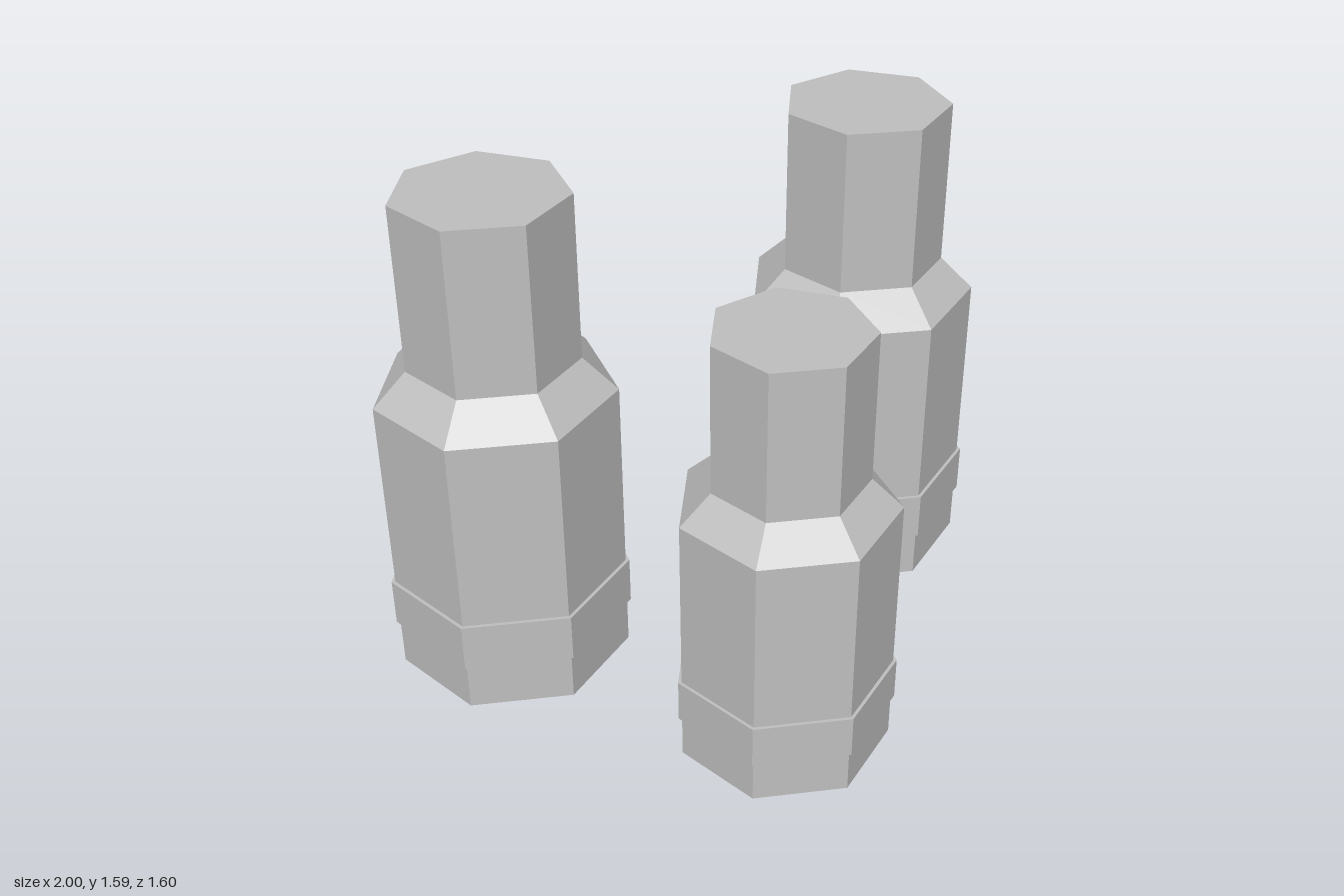
import * as THREE from 'three';

const grey = new THREE.MeshStandardMaterial({ color: 0xc0c0c0, flatShading: true });
grey.name = 'plain grey';

// Seven-sided solid of revolution with one corner pointing to -x; profile runs upward
function heptagonLathe(name, profile) {
  const points = profile.map(([r, y]) => new THREE.Vector2(r, y));
  const mesh = new THREE.Mesh(new THREE.LatheGeometry(points, 7, -Math.PI / 2), grey);
  mesh.name = name;
  return mesh;
}

function createBottle(name, x, z, scale) {
  const bottle = new THREE.Group();
  bottle.name = name;
  // Body, sloping shoulder and neck, closed at both ends
  bottle.add(heptagonLathe('bottleBody', [
    [0, 0], [0.37, 0], [0.37, 0.957], [0.264, 1.062], [0.264, 1.593], [0, 1.593],
  ]));
  // Raised label band around the lower body
  bottle.add(heptagonLathe('labelBand', [
    [0.37, 0.16], [0.382, 0.16], [0.382, 0.319], [0.37, 0.319],
  ]));
  bottle.position.set(x, 0, z);
  bottle.scale.setScalar(scale);
  return bottle;
}

export function createModel() {
  const model = new THREE.Group();
  model.name = 'bottles';
  model.add(
    createBottle('rightBottle', -0.618, -0.256, 1),
    createBottle('leftBottle', 0.656, -0.425, 1),
    createBottle('smallFrontBottle', 0.017, 0.47, 0.88),
  );
  return model;
}
